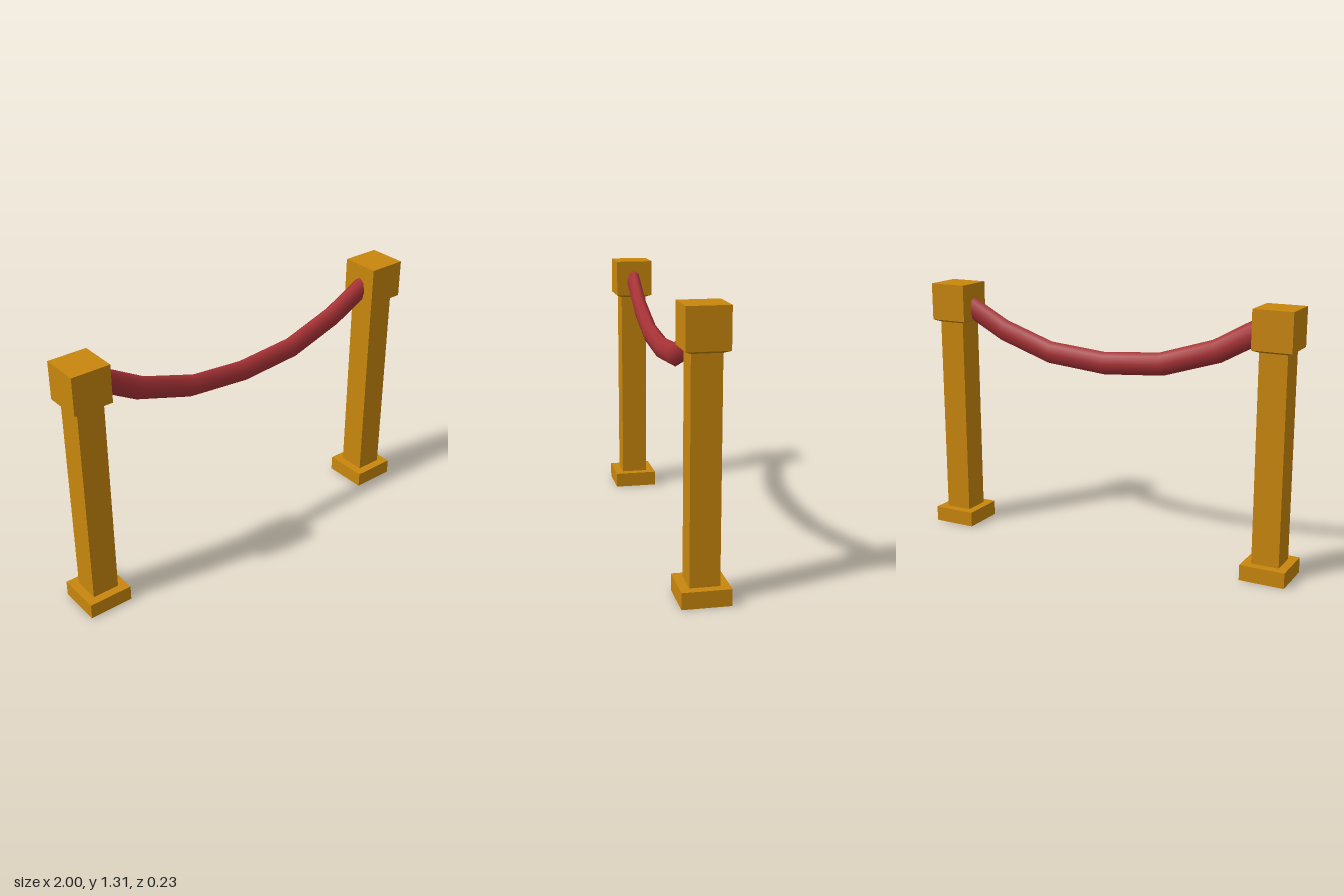
import * as THREE from 'three';
import { mergeVertices } from 'three/addons/utils/BufferGeometryUtils.js';

const gold = new THREE.MeshStandardMaterial({ color: 0xc8860d, flatShading: true });
const red = new THREE.MeshStandardMaterial({ color: 0xa83236, side: THREE.DoubleSide });

// Square block between two heights, optionally tapered towards the bottom
function block(name, y0, y1, top, bottom = top) {
  const geo = new THREE.CylinderGeometry(top * Math.SQRT1_2, bottom * Math.SQRT1_2, y1 - y0, 4, 1);
  geo.rotateY(Math.PI / 4);
  const mesh = new THREE.Mesh(geo, gold);
  mesh.name = name;
  mesh.position.y = (y0 + y1) / 2;
  return mesh;
}

function createPost(name, x) {
  const post = new THREE.Group();
  post.name = name;
  post.position.x = x;
  post.add(
    block('base', 0, 0.078, 0.226),
    block('shaft', 0.078, 1.108, 0.138),
    block('capTaper', 1.108, 1.12, 0.196, 0.14),
    block('cap', 1.12, 1.31, 0.196)
  );
  return post;
}

// Sagging rope: an oval tube bent along a few points, its rings tilted to the path
function createRope() {
  const path = [[0.85, 1.207], [0.605, 1.079], [0.33, 0.988], [0.018, 0.962],
    [-0.295, 0.988], [-0.585, 1.079], [-0.85, 1.227]].map(p => new THREE.Vector2(...p));
  const rows = path.length - 1;
  const geo = new THREE.CylinderGeometry(1, 1, 1, 8, rows, true);
  const pos = geo.attributes.position;
  for (let i = 0; i < pos.count; i++) {
    const row = Math.round((0.5 - pos.getY(i)) * rows);
    const c = path[row];
    const along = path[Math.max(row - 1, 0)].clone().sub(path[Math.min(row + 1, rows)]).normalize();
    const up = pos.getZ(i) * 0.0575;
    pos.setXYZ(i, c.x - along.y * up, c.y + along.x * up, pos.getX(i) * 0.038 + 0.003);
  }
  geo.deleteAttribute('uv');
  geo.deleteAttribute('normal');
  const smooth = mergeVertices(geo);
  smooth.computeVertexNormals();
  const rope = new THREE.Mesh(smooth, red);
  rope.name = 'rope';
  return rope;
}

export function createModel() {
  const model = new THREE.Group();
  model.name = 'ropeBarrier';
  model.add(createPost('leftPost', 0.887), createPost('rightPost', -0.887), createRope());
  return model;
}
